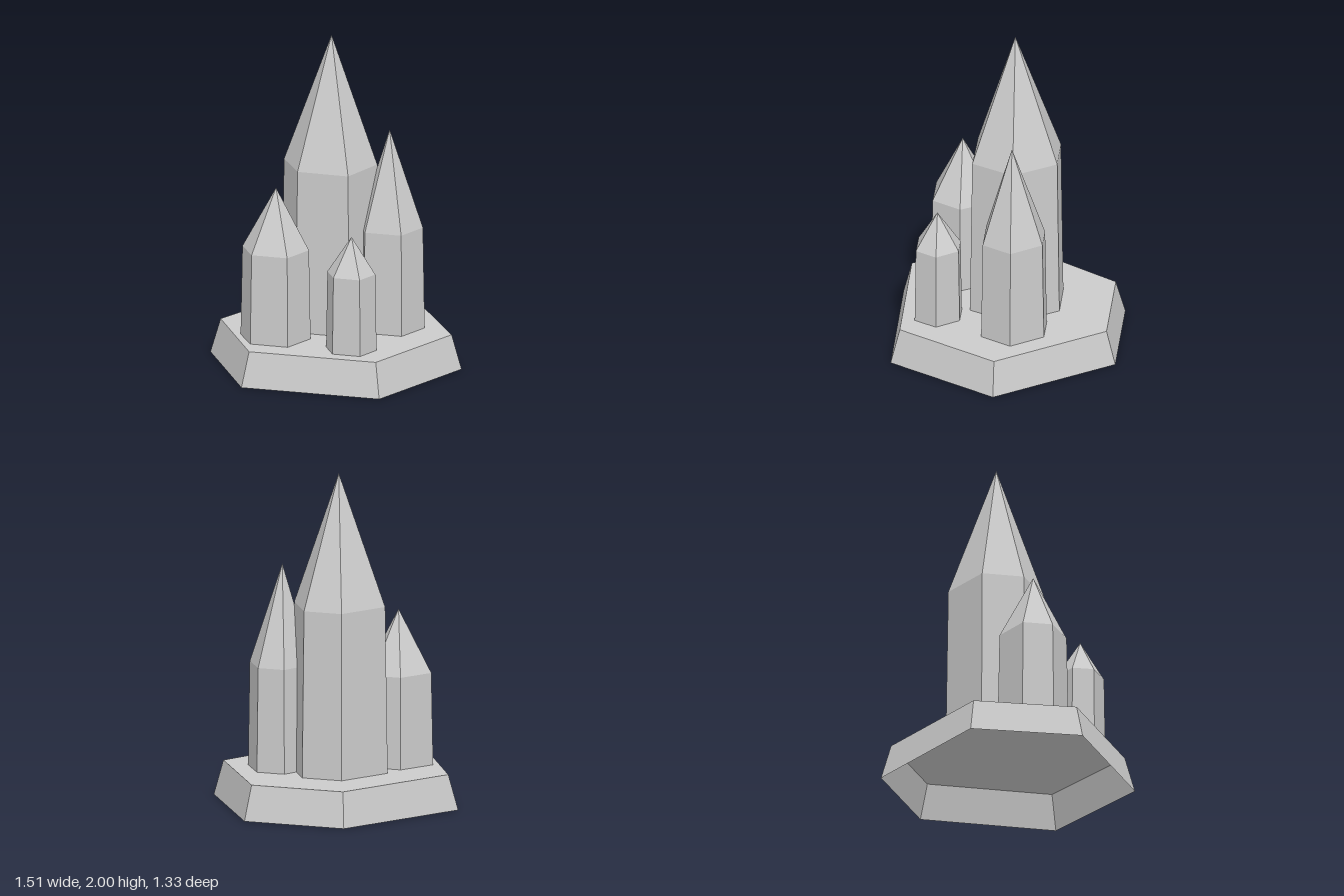
import * as THREE from 'three';

// Both sides show because the solids are hollow and open underneath
const material = new THREE.MeshStandardMaterial({ color: 0xcccccc, flatShading: true, side: THREE.DoubleSide });

// Faceted shell: hexagonal outline [x, z] lofted from y0 to y1 (scaled about its
// middle) and closed by a fan to the tip, or to a flat top; the bottom is open.
function facetedShell(name, outline, y0, y1, taper, tip) {
  const n = outline.length;
  const mx = outline.reduce((s, p) => s + p[0], 0) / n;
  const mz = outline.reduce((s, p) => s + p[1], 0) / n;
  const ring = (y, k) => outline.map(([x, z]) => [mx + (x - mx) * k, y, mz + (z - mz) * k]);
  const low = ring(y0, 1);
  const high = ring(y1, taper);
  const top = tip || [mx, y1, mz];
  const pos = [];
  for (let i = 0; i < n; i++) {
    const j = (i + 1) % n;
    pos.push(...low[i], ...high[i], ...high[j], ...low[i], ...high[j], ...low[j]);
    pos.push(...high[i], ...top, ...high[j]);
  }
  const geometry = new THREE.BufferGeometry();
  geometry.setAttribute('position', new THREE.Float32BufferAttribute(pos, 3));
  geometry.computeVertexNormals();
  const mesh = new THREE.Mesh(geometry, material);
  mesh.name = name;
  return mesh;
}

const BASE_TOP = 0.21;

// Slightly irregular outlines, clockwise from above starting at -x
const crystals = [
  {
    name: 'mainCrystal', shoulder: 1.21, tip: [-0.05, 2, -0.035],
    outline: [[-0.348, -0.012], [-0.167, -0.309], [0.081, -0.307], [0.24, -0.043], [0.118, 0.219], [-0.207, 0.21]],
  },
  {
    name: 'leftCrystal', shoulder: 0.835, tip: [0.3, 1.435, -0.045],
    outline: [[0.107, -0.032], [0.216, -0.244], [0.388, -0.242], [0.511, -0.053], [0.416, 0.127], [0.184, 0.125]],
  },
  {
    name: 'rightCrystal', shoulder: 0.762, tip: [-0.305, 1.137, 0.298],
    outline: [[-0.516, 0.313], [-0.387, 0.106], [-0.2, 0.109], [-0.095, 0.297], [-0.19, 0.476], [-0.418, 0.472]],
  },
  {
    name: 'smallCrystal', shoulder: 0.683, tip: [0.18, 0.907, 0.406],
    outline: [[0.028, 0.414], [0.119, 0.267], [0.243, 0.269], [0.331, 0.402], [0.263, 0.533], [0.095, 0.53]],
  },
];

export function createModel() {
  const group = new THREE.Group();
  group.name = 'crystalCluster';

  // Bevelled rock base, hollow underneath
  const baseOutline = [[-0.757, 0.079], [-0.307, -0.664], [0.317, -0.658], [0.755, 0.028], [0.411, 0.663], [-0.426, 0.658]];
  group.add(facetedShell('base', baseOutline, 0, BASE_TOP, 0.92));

  // Pointed crystals standing on the base
  for (const c of crystals) {
    group.add(facetedShell(c.name, c.outline, BASE_TOP, c.shoulder, 0.95, c.tip));
  }
  return group;
}
